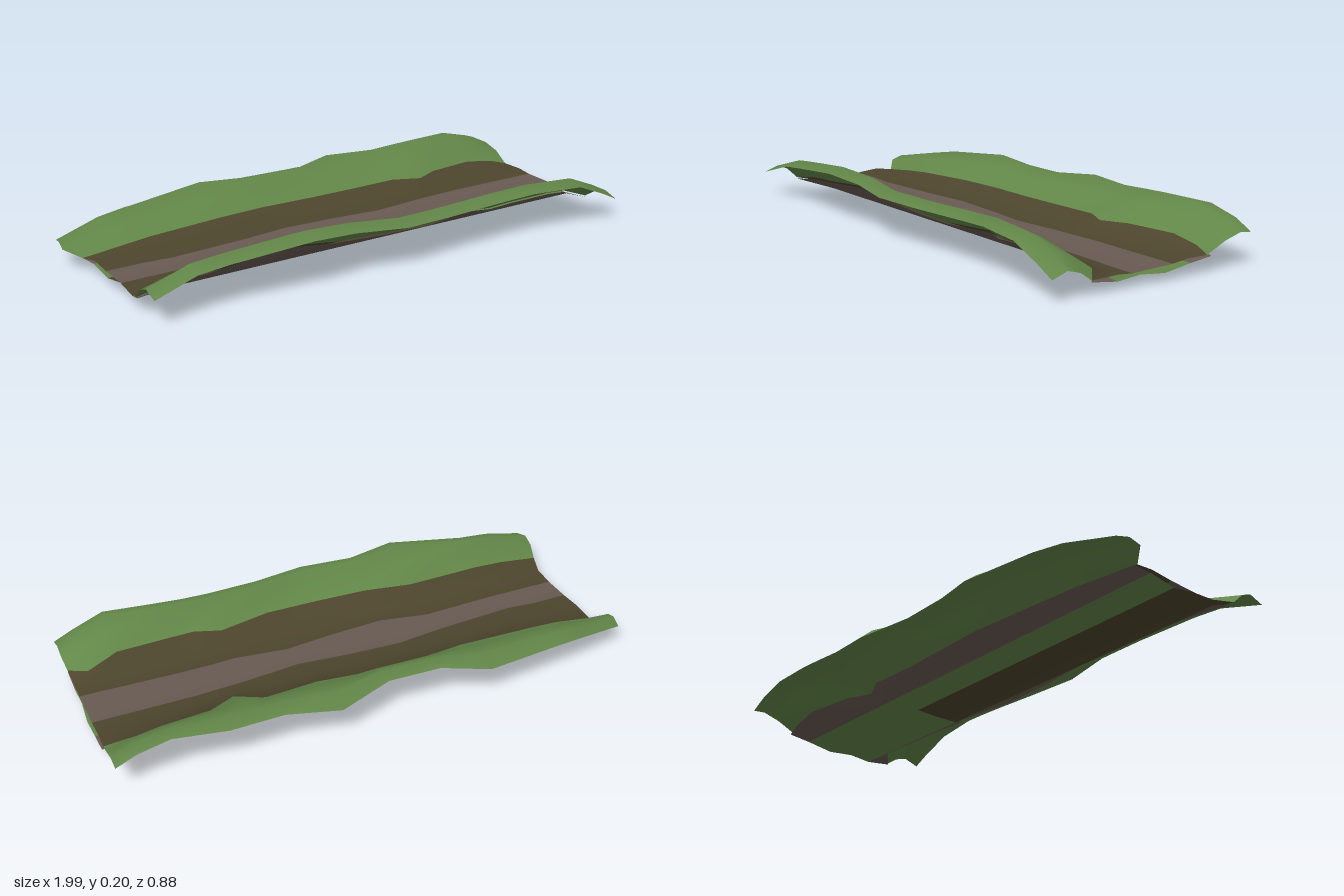
import * as THREE from 'three';

const material = (name, color) => {
  const m = new THREE.MeshStandardMaterial({ color, side: THREE.DoubleSide });
  m.name = name;
  return m;
};

// Stations along the path, and the plan position of each border at every station
const X = [-0.96, -0.8, -0.68, -0.38, -0.2, 0, 0.2, 0.4, 0.5, 0.6, 0.8, 0.92, 0.985];
const backEdge = [-0.335, -0.385, -0.405, -0.44, -0.39, -0.385, -0.445, -0.415, -0.42, -0.425, -0.405, -0.402, -0.4];
const backBorder = [-0.2, -0.195, -0.2, -0.207, -0.225, -0.22, -0.205, -0.215, -0.165, -0.21, -0.235, -0.225, -0.21];
const pathBack = [-0.03, -0.03, -0.02, -0.04, -0.06, -0.05, -0.03, -0.05, -0.055, -0.06, -0.06, -0.06, -0.06];
const pathFront = [0.085, 0.085, 0.085, 0.075, 0.11, 0.1, 0.08, 0.105, 0.1, 0.1, 0.105, 0.11, 0.11];
const frontBorder = [0.25, 0.245, 0.245, 0.217, 0.26, 0.275, 0.28, 0.237, 0.27, 0.265, 0.26, 0.22, 0.275];
const frontEdge = [0.395, 0.38, 0.38, 0.417, 0.397, 0.43, 0.41, 0.4, 0.4, 0.405, 0.435, 0.435, 0.435];

// Bank crest heights, droop of the outer rims, and depth of the underside
const backCrest = [0.09, 0.125, 0.145, 0.17, 0.165, 0.165, 0.178, 0.175, 0.178, 0.18, 0.18, 0.15, 0.115];
const frontCrest = [0.115, 0.16, 0.17, 0.2, 0.185, 0.175, 0.17, 0.173, 0.176, 0.18, 0.178, 0.13, 0.095];
const backDroop = [0.01, 0.01, 0.02, 0.04, 0.01, 0.01, 0.045, 0.02, 0.02, 0.02, 0.006, 0.005, 0.005];
const belly = [0.045, 0.015, 0, 0.025, 0.03, 0.025, 0.02, 0.025, 0.03, 0.03, 0.03, 0.033, 0.036];

const mix = THREE.MathUtils.lerp;

// Cross-sections from back to front as [z, y]
const topSection = (i) => {
  const bc = backCrest[i], fc = frontCrest[i];
  const bCrestZ = backEdge[i] + 0.05, fCrestZ = frontEdge[i] - 0.06;
  return [
    [backEdge[i], bc - backDroop[i]],
    [bCrestZ, bc],
    [mix(backBorder[i], bCrestZ, 0.5), bc * 0.83],
    [backBorder[i], bc * 0.5],
    [-0.12, 0.058],
    [pathBack[i], 0.05],
    [pathFront[i], 0.045],
    [0.17, 0.05],
    [frontBorder[i], fc * 0.5],
    [mix(frontBorder[i], fCrestZ, 0.5), fc * 0.85],
    [fCrestZ, fc],
    [frontEdge[i], fc - 0.02],
  ];
};
const underSection = (i) => [
  [backBorder[i] - 0.01, backCrest[i] * 0.5 - 0.004],
  [-0.13, 0.044],
  [-0.02, 0.028],
  [0.08, belly[i]],
  [0.17, 0.028],
  [frontBorder[i], frontCrest[i] * 0.5 - 0.006],
];

// Ragged ends: how far each row reaches at the left-hand end
const topEnd = [-0.985, -0.995, -1, -0.945, -0.935, -0.935, -0.935, -0.935, -0.96, -0.965, -0.965, -0.965];
const underEnd = [-0.94, -0.935, -0.935, -0.935, -0.935, -0.955];

// Lofts the sections; every band shares the vertices so the shading stays smooth
function loft(group, section, ends, bands, flip) {
  const rows = ends.length;
  const points = [];
  X.forEach((x, i) => section(i).forEach(([z, y], r) => {
    const px = i === 0 ? ends[r] : x + (i === X.length - 1 && (r < 3 || r > 8) ? 0.008 : 0);
    points.push(px, y, z);
  }));
  const strip = (from, to, start = 0, end = X.length - 1) => {
    const index = [];
    for (let i = start; i < end; i++) {
      for (let r = from; r < to; r++) {
        const a = i * rows + r, b = a + 1, c = a + rows, d = c + 1;
        if (flip) index.push(a, c, b, b, c, d);
        else index.push(a, b, c, b, d, c);
      }
    }
    return index;
  };
  const whole = new THREE.BufferGeometry();
  whole.setAttribute('position', new THREE.Float32BufferAttribute(points, 3));
  whole.setIndex(strip(0, rows - 1));
  whole.computeVertexNormals();
  bands.forEach(([name, mat, ...range]) => {
    const geometry = new THREE.BufferGeometry();
    geometry.setAttribute('position', whole.attributes.position);
    geometry.setAttribute('normal', whole.attributes.normal);
    geometry.setIndex(strip(...range));
    const mesh = new THREE.Mesh(geometry, mat);
    mesh.name = name;
    group.add(mesh);
  });
}

export function createModel() {
  const group = new THREE.Group();
  group.name = 'pathWithGrassBanks';
  const grass = material('grass', 0x628648);
  const dirt = material('dirt', 0x4d452d);
  const path = material('path', 0x685a52);

  // Upper surface: banks, verges and the trodden path
  loft(group, topSection, topEnd, [
    ['backBank', grass, 0, 3],
    ['backVerge', dirt, 3, 5],
    ['pathSurface', path, 5, 6],
    ['frontVerge', dirt, 6, 8],
    ['frontBank', grass, 8, 11],
  ], false);

  // Underside of the ground between the banks
  loft(group, underSection, underEnd, [
    ['backUnderside', path, 0, 1],
    ['grassUnderside', grass, 1, 2],
    ['dirtBelly', dirt, 2, 4, 0, 7],
    ['grassBelly', grass, 2, 4, 7, 12],
    ['frontUnderside', path, 4, 5],
  ], true);
  return group;
}
